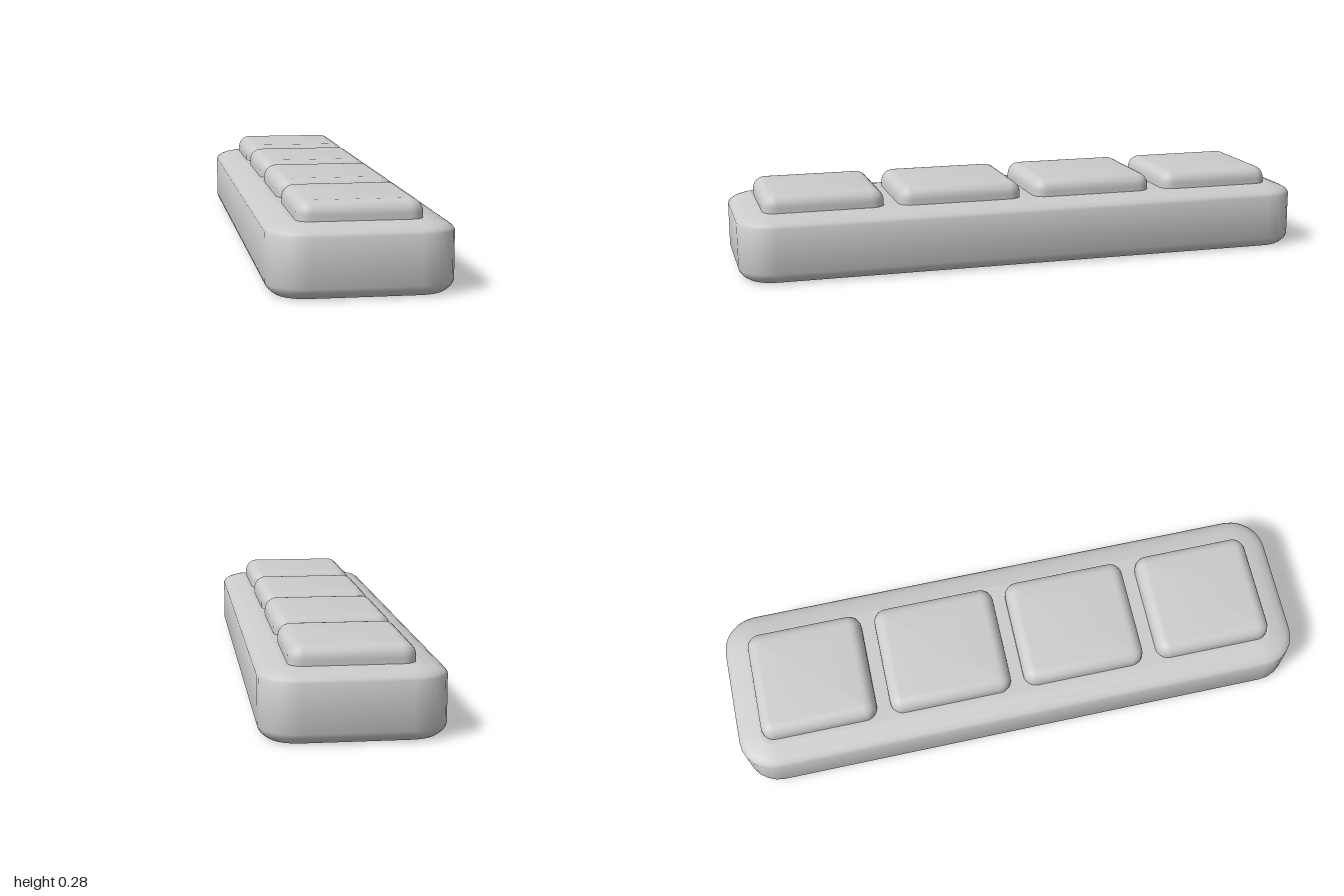
import * as THREE from 'three';
import { toCreasedNormals } from 'three/addons/utils/BufferGeometryUtils.js';

const material = new THREE.MeshStandardMaterial({ color: 0xcccccc, side: THREE.DoubleSide });

// Points [x, z] of a rounded rectangle with half sizes hx, hz
function outline(hx, hz, r, steps = 6) {
  const points = [];
  [[1, 1], [-1, 1], [-1, -1], [1, -1]].forEach(([sx, sz], k) => {
    for (let i = 0; i <= steps; i++) {
      const a = (k + i / steps) * Math.PI / 2;
      points.push([sx * (hx - r) + r * Math.cos(a), sz * (hz - r) + r * Math.sin(a)]);
    }
  });
  return points;
}

// Skin a profile of [inset, y] rows around a rounded rectangle; capped closes both ends
function loft(hx, hz, r, profile, capped) {
  const rows = profile.map(([inset, y]) =>
    outline(hx - inset, hz - inset, Math.max(r - inset, 0.012)).map(([x, z]) => [x, y, z]));
  const n = rows[0].length;
  const positions = rows.flat(2);
  const index = [];
  for (let j = 0; j < rows.length - 1; j++) {
    for (let i = 0; i < n; i++) {
      const a = j * n + i, b = j * n + (i + 1) % n;
      index.push(a, a + n, b + n, a, b + n, b);
    }
  }
  if (capped) {
    const first = rows.length * n, last = first + 1, top = (rows.length - 1) * n;
    positions.push(0, profile[0][1], 0, 0, profile[profile.length - 1][1], 0);
    for (let i = 0; i < n; i++) {
      const k = (i + 1) % n;
      index.push(first, i, k, last, top + k, top + i);
    }
  }
  const geometry = new THREE.BufferGeometry();
  geometry.setAttribute('position', new THREE.Float32BufferAttribute(positions, 3));
  geometry.setIndex(index);
  return toCreasedNormals(geometry, 0.8);
}

function part(name, geometry, parent) {
  const mesh = new THREE.Mesh(geometry, material);
  mesh.name = name;
  parent.add(mesh);
  return mesh;
}

export function createModel() {
  const group = new THREE.Group();
  group.name = 'keypad';
  const bodyX = 0.287, bodyZ = 1, bodyR = 0.12;
  const keyX = 0.194, keyR = 0.045, wall = 0.014;
  // Centre and half length of each key along z
  const keys = [[0.708, 0.205], [0.237, 0.216], [-0.241, 0.216], [-0.709, 0.204]];

  // Case wall: inside fillet, inner wall, rolled rim, outer wall, soft shoulder
  part('caseWall', loft(bodyX, bodyZ, bodyR, [
    [0.08, 0.204], [0.05, 0.199], [0.03, 0.19], [0.02, 0.176], [0.02, 0.025], [0.03, 0],
    [0.022, 0.005], [0.012, 0.013], [0.004, 0.022], [0, 0.034],
    [0, 0.186], [0.006, 0.195], [0.02, 0.204], [0.045, 0.212], [0.08, 0.218],
  ]), group);

  // Top plate with a rounded opening around each key
  const toVectors = (points, z = 0) => points.map(([x, y]) => new THREE.Vector2(x, y - z));
  const plate = new THREE.Shape(toVectors(outline(bodyX - 0.08, bodyZ - 0.08, bodyR - 0.08)));
  for (const [z, half] of keys) {
    plate.holes.push(new THREE.Path(toVectors(outline(keyX, half, keyR), -z)));
  }
  const plateGeometry = new THREE.ExtrudeGeometry(plate, { depth: 0.014, bevelEnabled: false });
  plateGeometry.rotateX(Math.PI / 2).translate(0, 0.218, 0);
  part('topPlate', plateGeometry, group);

  // Hollow keys with rounded upper edges and skirts reaching down into the case
  keys.forEach(([z, half], i) => {
    const profile = [[wall, 0.225], [wall, 0.125], [0, 0.125]];
    for (let k = 0; k <= 6; k++) {
      const a = (k / 6) * Math.PI / 2;
      profile.push([0.042 * (1 - Math.cos(a)), 0.235 + 0.042 * Math.sin(a)]);
    }
    part(`key${i + 1}`, loft(keyX, half, keyR, profile, true), group).position.z = z;
  });
  return group;
}
